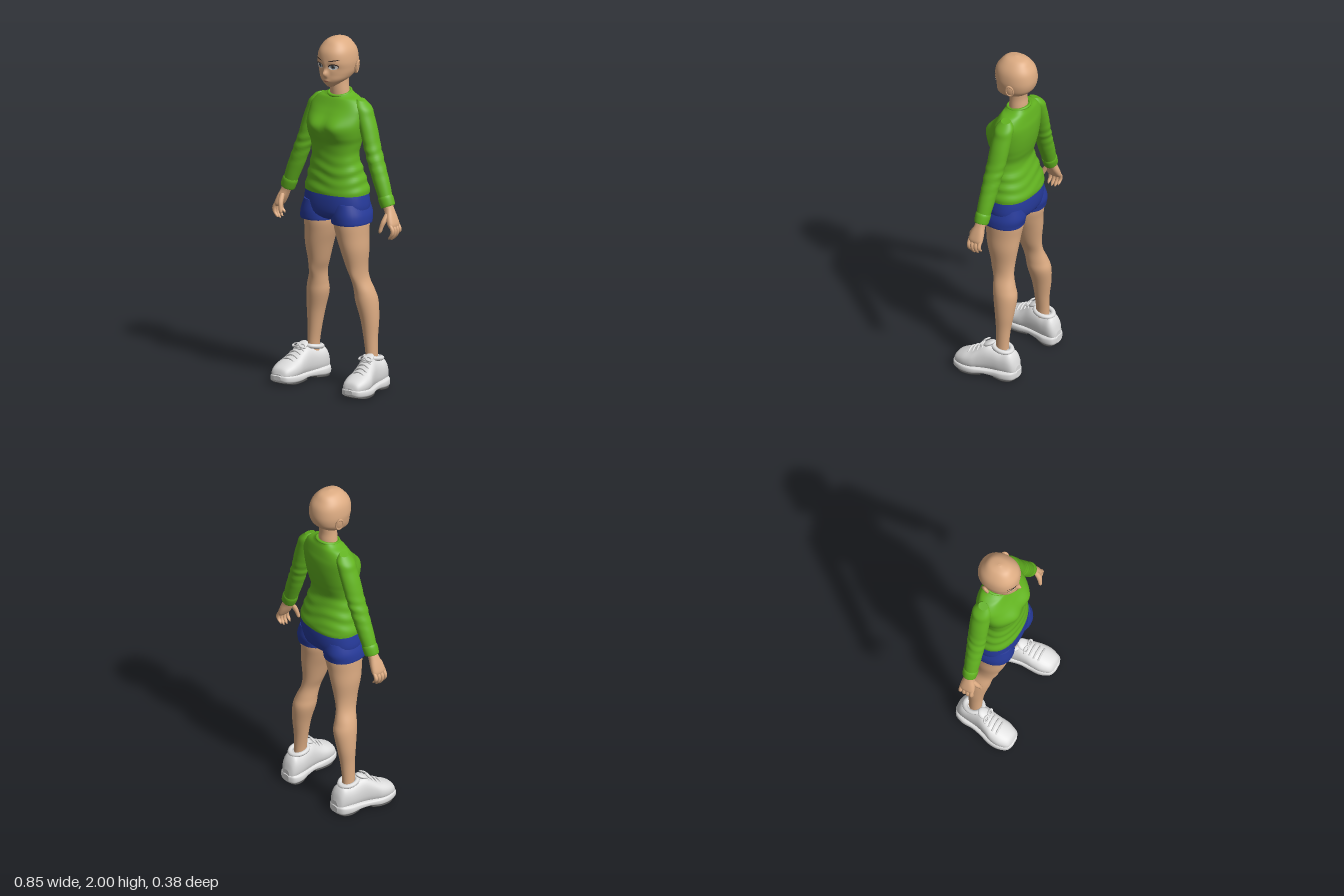
import * as THREE from 'three';

const mat = (name, color, side = THREE.FrontSide) => {
  const m = new THREE.MeshStandardMaterial({ color, side });
  m.name = name;
  return m;
};
const gauss = (x, y, sx, sy) => Math.exp(-((x / sx) ** 2) - (y / sy) ** 2);

// Catmull-Rom interpolation of a whole section row at t (0 .. rows-1)
function sampleRow(rows, t) {
  const i = Math.min(Math.floor(t), rows.length - 2), f = t - i;
  const row = (k) => rows[Math.max(0, Math.min(rows.length - 1, k))];
  return rows[i].map((_, c) => {
    const [a, b, d, e] = [i - 1, i, i + 1, i + 2].map((k) => row(k)[c]);
    return b + 0.5 * f * (d - a + f * (2 * a - 5 * b + 4 * d - e + f * (3 * (b - d) + e - a)));
  });
}

// Smooth body through sections [cx, y, cz, rx, rz, tiltX, tiltZ], listed from top to bottom
function loft(rows, { s = 1, n = 2, seg = 32, steps = 5, deform } = {}) {
  rows = rows.map(([x, y, z, rx, rz, tx = 0, tz = 0]) => [x * s, y, z, rx, rz, tx * s, tz]);
  const pos = [], idx = [], count = (rows.length - 1) * steps;
  const p = new THREE.Vector3();
  const pow = (v) => Math.sign(v) * Math.abs(v) ** (2 / n);
  const ring = (r) => {
    const [cx, cy, cz, rx, rz, tx, tz] = r;
    for (let j = 0; j < seg; j++) {
      const a = (j / seg) * Math.PI * 2, dx = rx * pow(Math.cos(a)), dz = rz * pow(Math.sin(a));
      p.set(cx + dx, cy + tx * dx + tz * dz, cz + dz);
      if (deform) deform(p, r);
      pos.push(p.x, p.y, p.z);
    }
  };
  for (let i = 0; i <= count; i++) ring(sampleRow(rows, i / steps));
  for (let i = 0; i < count; i++) for (let j = 0; j < seg; j++) {
    const a = i * seg + j, b = i * seg + ((j + 1) % seg);
    idx.push(a, b, a + seg, b, b + seg, a + seg);
  }
  for (const end of [0, rows.length - 1]) { // caps with their own vertices
    const base = pos.length / 3, r = rows[end];
    ring(r);
    pos.push(r[0], r[1], r[2]);
    for (let j = 0; j < seg; j++) {
      const a = base + j, b = base + ((j + 1) % seg);
      idx.push(base + seg, ...(end ? [a, b] : [b, a]));
    }
  }
  const g = new THREE.BufferGeometry();
  g.setAttribute('position', new THREE.Float32BufferAttribute(pos, 3));
  g.setIndex(idx);
  g.computeVertexNormals();
  return g;
}

// Loft running front to back from [cx, z, bottom, top, halfWidth]
const loftZ = (rows, opts) =>
  loft(rows.map(([x, z, b, t, w]) => [x, z, -(b + t) / 2, w, (t - b) / 2]), opts).rotateX(Math.PI / 2);

const HEAD = [
  [0, 2.0, -0.04, 0.006, 0.008], [0, 1.987, -0.041, 0.047, 0.06], [0, 1.957, -0.04, 0.079, 0.091],
  [0, 1.92, -0.04, 0.098, 0.113], [0, 1.87, -0.041, 0.105, 0.12], [0, 1.83, -0.042, 0.101, 0.113],
  [0, 1.80, -0.035, 0.093, 0.104], [0, 1.77, -0.017, 0.076, 0.086], [0, 1.745, 0.008, 0.046, 0.052],
  [0, 1.724, 0.022, 0.016, 0.022],
];
// Nose, lips, chin and eye sockets
const faceBump = (x, y) => 0.027 * gauss(x, y - 1.805, 0.013, 0.02) + 0.006 * gauss(x, y - 1.84, 0.012, 0.03)
  + 0.006 * gauss(x, y - 1.762, 0.022, 0.01) - 0.007 * gauss(Math.abs(x) - 0.042, y - 1.845, 0.022, 0.016);
function faceZ(x, y) {
  let lo = 0, hi = HEAD.length - 1;
  for (let k = 0; k < 24; k++) {
    const m = (lo + hi) / 2;
    if (sampleRow(HEAD, m)[1] > y) lo = m; else hi = m;
  }
  const [, , cz, rx, rz] = sampleRow(HEAD, lo);
  return cz + rz * Math.max(0, 1 - Math.abs(x / rx) ** 2.2) ** (1 / 2.2) + faceBump(x, y);
}
// Thin elliptical plate laid on the face
function facePatch(cx, cy, rx, ry, rot, lift) {
  const g = new THREE.RingGeometry(0, 1, 28, 5).scale(rx, ry, 1).rotateZ(rot).translate(cx, cy, 0);
  const p = g.attributes.position;
  for (let i = 0; i < p.count; i++) p.setZ(i, faceZ(p.getX(i), p.getY(i)) + lift);
  g.computeVertexNormals();
  return g;
}

export function createModel() {
  const M = {
    skin: mat('skin', 0xdcab82), sweater: mat('green knit', 0x62b320), shorts: mat('blue cloth', 0x263a9a),
    shoe: mat('white shoe', 0xdedede), sole: mat('dark sole', 0x4c4c4c),
    white: mat('eye white', 0xe6e1dc, THREE.DoubleSide), iris: mat('iris', 0x66757f, THREE.DoubleSide),
    dark: mat('brow and lash', 0x40302a, THREE.DoubleSide), lips: mat('lips', 0xb9765f, THREE.DoubleSide),
  };
  const model = new THREE.Group();
  model.name = 'figure';
  const add = (name, g, m) => {
    const mesh = new THREE.Mesh(g, m);
    mesh.name = name;
    model.add(mesh);
    return mesh;
  };

  // Head, neck and mouth
  add('head', loft(HEAD, {
    n: 2.2, seg: 96, steps: 7, deform: (p, r) => { if (p.z > r[2]) p.z += faceBump(p.x, p.y) * Math.min(1, (p.z - r[2]) / 0.04); },
  }), M.skin);
  add('neck', loft([[0, 1.8, -0.062, 0.05, 0.05], [0, 1.74, -0.056, 0.05, 0.049],
    [0, 1.69, -0.056, 0.055, 0.052], [0, 1.63, -0.056, 0.06, 0.05]]), M.skin);
  add('mouth', facePatch(0, 1.762, 0.018, 0.0045, 0, 0.002), M.lips);

  // Sweater body with bust and soft folds
  const torso = [[1.682, .064, .002, -.117], [1.668, .09, .006, -.122], [1.65, .135, .014, -.13], [1.61, .172, .035, -.138],
    [1.57, .178, .06, -.145], [1.51, .176, .095, -.145], [1.45, .166, .095, -.138], [1.4, .152, .082, -.128],
    [1.33, .143, .078, -.113], [1.25, .163, .084, -.135], [1.18, .183, .09, -.155], [1.14, .194, .097, -.166], [1.118, .195, .097, -.165]]
    .map(([y, rx, f, b], i) => [0, y, (f + b) / 2, rx, (f - b) / 2, 0, i < 2 ? -0.2 + i * 0.1 : 0]);
  add('sweaterBody', loft(torso, {
    n: 2.3, seg: 72, steps: 7, deform: (p, r) => {
      if (p.z > r[2]) p.z += 0.02 * gauss(Math.abs(p.x) - 0.07, p.y - 1.505, 0.055, 0.055);
      const fold = 0.022 * Math.sin(p.y * 95 + Math.sin(p.x * 16) * 2 + p.z * 12) * gauss(0, p.y - 1.24, 1, 0.09);
      p.x *= 1 + fold;
      p.z = r[2] + (p.z - r[2]) * (1 + fold);
    },
  }), M.sweater);
  add('collar', new THREE.TorusGeometry(0.063, 0.008, 10, 40).rotateX(Math.PI / 2 + 0.2).translate(0, 1.677, -0.057), M.sweater);

  // Shorts
  add('shortsSeat', loft([[0, 1.15, -.033, .18, .122], [0, 1.1, -.033, .193, .131], [0, 1.04, -.032, .199, .132],
    [0, 1.0, -.03, .18, .122], [0, .972, -.028, .09, .09]], { n: 2.3, seg: 48 }), M.shorts);

  for (const s of [1, -1]) {
    const side = s > 0 ? 'left' : 'right';
    const part = (name, g, m) => add(side + name, g, m);

    // Eye, brow and ear
    part('Lash', facePatch(s * 0.046, 1.848, 0.028, 0.0165, s * 0.12, 0.002), M.dark);
    part('EyeWhite', facePatch(s * 0.046, 1.845, 0.0255, 0.0135, s * 0.12, 0.003), M.white);
    part('Iris', facePatch(s * 0.044, 1.846, 0.012, 0.0128, 0, 0.004), M.iris);
    part('Pupil', facePatch(s * 0.044, 1.846, 0.0055, 0.0065, 0, 0.005), M.dark);
    part('Brow', facePatch(s * 0.05, 1.884, 0.028, 0.003, s * 0.2, 0.002), M.dark);
    part('Ear', new THREE.SphereGeometry(1, 20, 14).scale(0.009, 0.038, 0.024).rotateY(s * 0.35)
      .rotateZ(-s * 0.2).translate(s * 0.109, 1.833, -0.068), M.skin);
    part('EarRim', new THREE.TorusGeometry(0.024, 0.005, 8, 24).scale(0.85, 1.4, 1).rotateY(Math.PI / 2 + s * 0.35)
      .rotateZ(-s * 0.2).translate(s * 0.114, 1.835, -0.07), M.skin);

    // Sleeve and cuff
    part('Sleeve', loft([[.145, 1.652, -.065, .022, .028, -.3], [.158, 1.615, -.065, .048, .052, -.2], [.175, 1.56, -.063, .046, .056, .1],
      [.2, 1.49, -.06, .044, .056, .3], [.23, 1.395, -.055, .041, .054, .35], [.25, 1.34, -.051, .041, .052, .4],
      [.288, 1.24, -.046, .042, .047, .4], [.312, 1.18, -.043, .04, .044, .4], [.334, 1.12, -.04, .036, .039, .4]], {
      s, steps: 7, seg: 36, deform: (p, r) => {
        const k = 1 + 0.05 * Math.sin(p.y * 110 + p.z * 30) * gauss(0, p.y - 1.34, 1, 0.08);
        p.x = r[0] + (p.x - r[0]) * k;
        p.z = r[2] + (p.z - r[2]) * k;
      },
    }), M.sweater);
    part('Cuff', loft([[.328, 1.135, -.04, .037, .039, .4], [.335, 1.12, -.04, .041, .043, .4], [.35, 1.083, -.039, .039, .04, .4],
      [.351, 1.078, -.039, .034, .036, .4]], { s }), M.sweater);

    // Hand with thumb and four fingers
    part('Palm', loft([[.345, 1.095, -.038, .025, .03, .4], [.362, 1.06, -.036, .023, .03, .4], [.38, 1.02, -.032, .022, .04, .4],
      [.396, .985, -.03, .019, .044, .3], [.401, .968, -.03, .013, .038, .2]], { s, n: 2.4 }), M.skin);
    [-0.063, -0.041, -0.019, 0.003].forEach((z, i) => {
      const d = [0.02, 0.004, 0, 0.008][i];
      part('Finger' + (i + 1), loft([[.396, .992, z, .01, .011], [.412, .962, z, .0115, .0115], [.411, .932 + d / 2, z, .0105, .0105],
        [.397, .907 + d, z, .009, .009], [.389, .896 + d, z, .004, .004]], { s, seg: 12, steps: 4 }), M.skin);
    });
    part('Thumb', loft([[.366, 1.045, -.012, .013, .014], [.361, 1.005, .012, .015, .016], [.353, .972, .024, .012, .012],
      [.348, .948, .029, .01, .01], [.346, .938, .03, .004, .004]], { s, seg: 14, steps: 4 }), M.skin);

    // Shorts leg and bare leg
    part('ShortsLeg', loft([[.105, 1.07, -.03, .08, .118], [.107, 1.01, -.03, .1, .128], [.108, .97, -.026, .104, .125],
      [.108, .955, -.026, .103, .123]], { s, n: 2.2 }), M.shorts);
    part('Leg', loft([[.105, 1.02, -.03, .088, .112], [.103, .95, -.03, .092, .114], [.11, .88, -.03, .085, .104],
      [.123, .8, -.033, .073, .093], [.133, .7, -.041, .054, .073], [.147, .63, -.054, .044, .062], [.163, .56, -.069, .055, .066],
      [.171, .5, -.08, .061, .07], [.187, .4, -.085, .051, .056], [.195, .3, -.083, .04, .043], [.203, .2, -.082, .033, .038],
      [.205, .12, -.082, .035, .04]], {
      s, seg: 40, deform: (p, r) => { if (p.z > r[2]) p.z += 0.009 * gauss(p.x - s * 0.147, p.y - 0.645, 0.03, 0.04); },
    }), M.skin);

    // Shoe: upper, midsole, outsole pads
    part('ShoeUpper', loftZ([[.25, .184, .03, .065, .03], [.25, .168, .022, .096, .055], [.248, .12, .02, .122, .073],
      [.245, .07, .02, .142, .073], [.238, .03, .02, .17, .065], [.229, -.01, .02, .193, .06], [.221, -.05, .02, .188, .058],
      [.213, -.1, .02, .175, .059], [.207, -.145, .02, .175, .057], [.205, -.172, .02, .14, .046], [.204, -.186, .03, .09, .025]],
    { s, n: 2.3 }), M.shoe);
    part('Midsole', loftZ([[.25, .19, .03, .055, .025], [.25, .172, .014, .06, .06], [.248, .12, .006, .06, .079],
      [.245, .06, .006, .056, .078], [.235, .0, .016, .054, .068], [.222, -.06, .012, .058, .066], [.212, -.12, .006, .064, .072],
      [.206, -.17, .006, .066, .058], [.204, -.19, .018, .06, .025]], { s, n: 3.4 }), M.shoe);
    part('ForefootSole', loftZ([[.25, .165, .008, .018, .05], [.248, .12, 0, .012, .074], [.245, .06, 0, .012, .073],
      [.237, .01, .004, .018, .062]], { s, n: 4 }), M.sole);
    part('HeelSole', loftZ([[.221, -.065, .004, .016, .056], [.212, -.12, 0, .012, .067], [.207, -.16, 0, .012, .056],
      [.205, -.178, .006, .016, .035]], { s, n: 4 }), M.sole);
    part('ShoeCollar', new THREE.TorusGeometry(0.044, 0.013, 10, 32).scale(1, 1.2, 1).rotateX(Math.PI / 2 - 0.15)
      .translate(s * 0.209, 0.18, -0.088), M.shoe);
    part('Tongue', new THREE.SphereGeometry(1, 20, 12).scale(0.034, 0.014, 0.04).rotateX(0.5).translate(s * 0.23, 0.193, -0.012), M.shoe);

    // Toe cap seam, laces and bow
    for (let i = 0; i < 4; i++) {
      const x = s * (0.234 + i * 0.004), y = 0.19 - i * 0.016, z = 0.012 + i * 0.026, w = 0.036 + i * 0.002;
      part('Lace' + (i + 1), new THREE.TubeGeometry(new THREE.QuadraticBezierCurve3(new THREE.Vector3(x - w, y - 0.022, z),
        new THREE.Vector3(x, y + 0.016, z + 0.004), new THREE.Vector3(x + w, y - 0.022, z)), 12, 0.006, 8), M.shoe);
    }
    for (const k of [-1, 1]) {
      part('BowLoop', new THREE.TorusGeometry(0.014, 0.005, 8, 20).scale(1.4, 0.8, 1).rotateX(-0.9).rotateZ(-k * 0.35)
        .translate(s * 0.232 + k * 0.024, 0.198, 0.014), M.shoe);
    }
  }
  return model;
}
